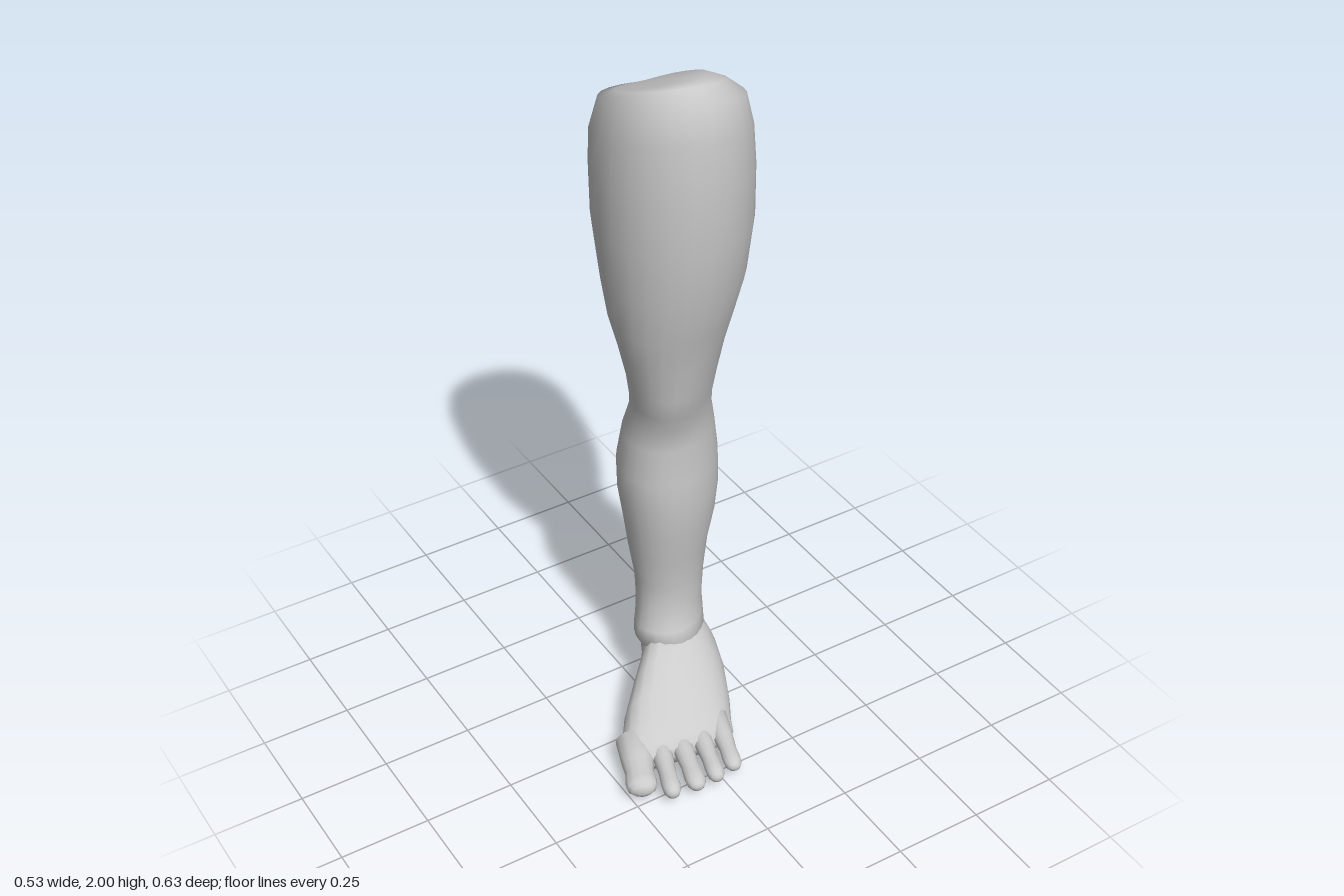
import * as THREE from 'three';

const SIDES = 24;
const V = (x, y, z) => new THREE.Vector3(x, y, z);
const skin = new THREE.MeshStandardMaterial({ color: 0xcccccc });

// Closed smooth skin through a list of rings, with a centre point at both ends
function loft(name, rings) {
  const n = rings[0].length;
  const points = rings.flat();
  const ends = [rings[0], rings[rings.length - 1]].map((ring) =>
    ring.reduce((sum, p) => sum.add(p), V(0, 0, 0)).divideScalar(n));
  const first = points.push(ends[0]) - 1;
  const last = points.push(ends[1]) - 1;
  const tris = [];
  for (let j = 0; j < n; j++) {
    const k = (j + 1) % n;
    for (let i = 0; i < rings.length - 1; i++) {
      const a = i * n + j, b = i * n + k;
      tris.push([a, a + n, b], [b, a + n, b + n]);
    }
    const top = (rings.length - 1) * n;
    tris.push([first, j, k], [last, top + k, top + j]);
  }
  // Turn the faces outward whichever way the rings run
  const volume = tris.reduce((sum, [a, b, c]) =>
    sum + points[a].dot(points[b].clone().cross(points[c])), 0);
  if (volume < 0) tris.forEach((t) => t.reverse());
  const geometry = new THREE.BufferGeometry().setFromPoints(points);
  geometry.setIndex(tris.flat());
  geometry.computeVertexNormals();
  const mesh = new THREE.Mesh(geometry, skin);
  mesh.name = name;
  return mesh;
}

// Horizontal leg rings: y, xMin, xMax, zMin, zMax, diagonal skew, tilt by z, tilt by x
const LEG = [
  [0.10, 0.04, 0.19, -0.27, -0.08, 0.2],
  [0.20, -0.015, 0.203, -0.267, -0.03, 0.25],
  [0.25, -0.007, 0.2, -0.253, -0.05, 0.2],
  [0.31, 0.0, 0.195, -0.245, -0.064, 0.1],
  [0.40, -0.004, 0.2, -0.25, -0.06, 0.1],
  [0.50, -0.02, 0.215, -0.275, -0.045, 0.15],
  [0.60, -0.035, 0.24, -0.3, -0.025, 0.2],
  [0.70, -0.05, 0.25, -0.314, -0.012, 0.2],
  [0.79, -0.056, 0.245, -0.305, -0.01, 0.2],
  [0.90, -0.045, 0.225, -0.275, -0.014, 0.2],
  [0.97, -0.036, 0.207, -0.252, -0.003, 0.25],
  [1.03, -0.045, 0.205, -0.244, 0.014, 0.3],
  [1.10, -0.06, 0.21, -0.245, 0.036, 0.3],
  [1.20, -0.085, 0.222, -0.25, 0.06, 0.25],
  [1.30, -0.112, 0.24, -0.265, 0.09, 0.2],
  [1.42, -0.13, 0.257, -0.283, 0.123, 0.15],
  [1.58, -0.15, 0.264, -0.296, 0.152, 0.12],
  [1.72, -0.153, 0.26, -0.298, 0.16, 0.12, 0.1, -0.05],
  [1.82, -0.15, 0.25, -0.293, 0.157, 0.12, 0.25, -0.1],
  [1.91, -0.135, 0.225, -0.25, 0.14, 0.12, 0.3, -0.15],
  [1.942, -0.1, 0.17, -0.19, 0.1, 0.1, 0.4, -0.1],
  [1.968, -0.06, 0.11, -0.1, 0.06, 0.1, 0.4, 0],
];

// Soft swellings: kneecap, inner and outer ankle bone (x, y, z, height, radius)
const SWELLINGS = [
  [0.01, 1.06, 0.01, 0.012, 0.06],
  [0.0, 0.25, -0.13, 0.01, 0.04],
  [0.2, 0.22, -0.17, 0.01, 0.04],
];

function legRing([y, x0, x1, z0, z1, skew, tiltZ = 0, tiltX = 0]) {
  const cx = (x0 + x1) / 2, cz = (z0 + z1) / 2;
  return Array.from({ length: SIDES }, (_, i) => {
    const t = (i / SIDES) * Math.PI * 2;
    const dx = Math.cos(t + skew) * (x1 - x0) / 2;
    const dz = Math.sin(t) * (z1 - z0) / 2;
    const p = V(cx + dx, y + tiltZ * dz + tiltX * dx, cz + dz);
    const out = V(dx, 0, dz).normalize();
    for (const [sx, sy, sz, height, radius] of SWELLINGS) {
      const d = p.distanceTo(V(sx, sy, sz)) / radius;
      p.addScaledVector(out, height * Math.exp(-d * d));
    }
    return p;
  });
}

// Upright foot rings: inner edge x, z, outer edge x, z, bottom, top
const FOOT = [
  [0.125, -0.287, 0.17, -0.292, 0.05, 0.11],
  [0.08, -0.262, 0.2, -0.265, 0.035, 0.18],
  [0.045, -0.22, 0.212, -0.22, 0.028, 0.23],
  [0.015, -0.16, 0.216, -0.16, 0.025, 0.26],
  [-0.03, -0.1, 0.21, -0.08, 0.018, 0.245],
  [-0.095, -0.04, 0.188, 0.0, 0.008, 0.21],
  [-0.155, 0.02, 0.152, 0.08, 0.0, 0.165],
  [-0.205, 0.09, 0.118, 0.14, 0.004, 0.125],
  [-0.225, 0.14, 0.1, 0.18, 0.012, 0.098],
  [-0.205, 0.17, 0.075, 0.2, 0.025, 0.08],
];

function footRing([mx, mz, lx, lz, bottom, top]) {
  const middle = bottom + (top - bottom) * 0.35;
  return Array.from({ length: SIDES }, (_, i) => {
    const t = (i / SIDES) * Math.PI * 2;
    const c = Math.cos(t), s = Math.sin(t);
    const across = Math.sign(c) * Math.abs(c) ** 0.85;
    // The instep ridge sits towards the inner edge; the sole is flatter
    const u = (0.5 + across / 2) ** (s > 0 ? 1.2 : 1);
    const y = s > 0 ? middle + (top - middle) * s
      : middle - (middle - bottom) * Math.abs(s) ** 0.6;
    return V(mx + (lx - mx) * u, y, mz + (lz - mz) * u);
  });
}

// Toes: name, base x, z, end x, z, base half width, tip half width, tip half height
const TOES = [
  ['bigToe', -0.165, 0.09, -0.234, 0.252, 0.05, 0.043, 0.033],
  ['secondToe', -0.1, 0.1, -0.17, 0.305, 0.032, 0.026, 0.026],
  ['middleToe', -0.045, 0.11, -0.099, 0.316, 0.031, 0.028, 0.025],
  ['fourthToe', 0.015, 0.12, -0.037, 0.316, 0.03, 0.025, 0.024],
  ['littleToe', 0.078, 0.12, 0.024, 0.305, 0.033, 0.025, 0.023],
];
// Along each toe: position, width share, height share
const TOE_PROFILE = [
  [0, 1, 1.25], [0.45, 0.95, 1.05], [0.65, 0.88, 0.88],
  [0.8, 1, 0.98], [0.91, 0.95, 0.88], [0.98, 0.65, 0.6], [1, 0.3, 0.3],
];

function toe([name, bx, bz, ex, ez, baseWidth, tipWidth, height]) {
  const along = V(ex - bx, 0, ez - bz);
  const side = V(along.z, 0, -along.x).normalize();
  const rings = TOE_PROFILE.map(([f, w, h]) => {
    const halfWidth = w * THREE.MathUtils.lerp(baseWidth, tipWidth, Math.min(1, f * 1.3));
    const centre = V(bx, 0.068 - 0.022 * f, bz).addScaledVector(along, f);
    return Array.from({ length: 12 }, (_, i) => {
      const t = (i / 12) * Math.PI * 2;
      const p = centre.clone().addScaledVector(side, Math.cos(t) * halfWidth);
      p.y += Math.sin(t) * h * height;
      return p;
    });
  });
  return loft(name, rings);
}

export function createModel() {
  const model = new THREE.Group();
  model.name = 'leg';
  model.add(loft('thighAndShin', LEG.map(legRing)));

  const foot = new THREE.Group();
  foot.name = 'foot';
  foot.add(loft('footBody', FOOT.map(footRing)));
  TOES.forEach((t) => foot.add(toe(t)));
  model.add(foot);
  return model;
}
